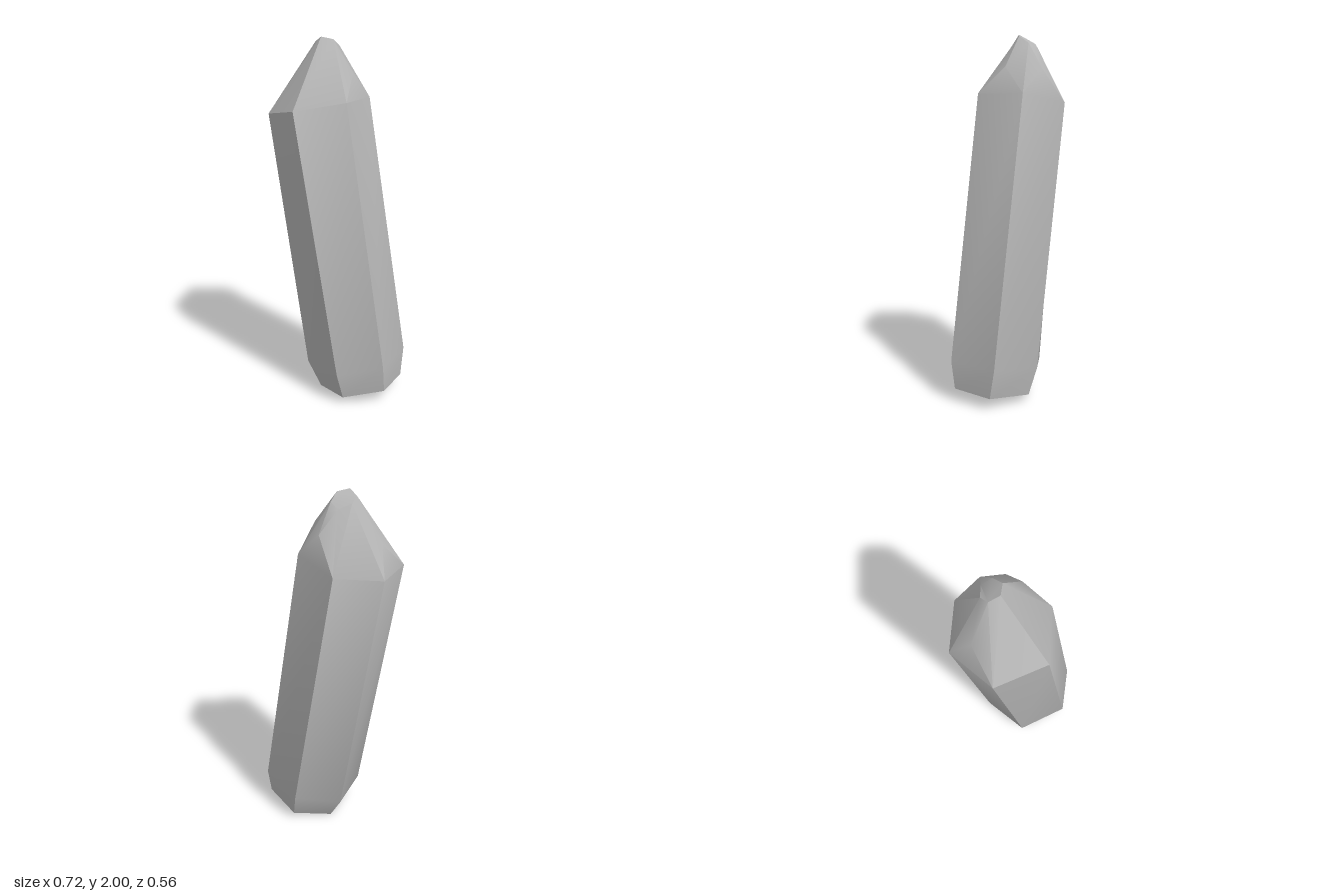
import * as THREE from 'three';
import { toCreasedNormals } from 'three/addons/utils/BufferGeometryUtils.js';

// Six-cornered cross-sections, counterclockwise from the front-left corner
const base = [[-0.05, 0.005, 0.13], [0.155, 0.04, 0.24], [0.355, 0.075, 0.12],
  [0.355, 0.067, -0.11], [0.14, 0.04, -0.225], [-0.05, 0, -0.1]];
const lower = [[-0.13, 0.15, 0.14], [0.135, 0.19, 0.275], [0.356, 0.23, 0.142],
  [0.358, 0.23, -0.14], [0.11, 0.19, -0.26], [-0.13, 0.15, -0.14]];
const shoulder = [[-0.36, 1.595, 0.138], [-0.117, 1.64, 0.28], [0.11, 1.68, 0.12],
  [0.105, 1.68, -0.16], [-0.14, 1.63, -0.28], [-0.354, 1.6, -0.135]];
const tip = [[-0.16, 1.975, -0.036], [-0.11, 2, -0.006], [-0.055, 1.987, -0.04],
  [-0.05, 1.95, -0.103], [-0.1, 1.925, -0.13], [-0.156, 1.95, -0.085]];
// Bulge points on some of the point's facets
const bulges = { 2: [0.07, 1.82, -0.03], 3: [-0.03, 1.81, -0.2], 5: [-0.298, 1.75, -0.035] };

function surface(name, triangles, material) {
  const geometry = new THREE.BufferGeometry();
  geometry.setAttribute('position', new THREE.Float32BufferAttribute(triangles.flat(2), 3));
  const mesh = new THREE.Mesh(toCreasedNormals(geometry, THREE.MathUtils.degToRad(34)), material);
  mesh.name = name;
  return mesh;
}

export function createModel() {
  const stone = new THREE.MeshStandardMaterial({ color: 0xb5b5b5 });
  stone.name = 'grey crystal';
  const triangles = [];

  for (let i = 0; i < 6; i++) {
    const j = (i + 1) % 6;
    // Bevelled foot and long shaft
    for (const [a, b] of [[base, lower], [lower, shoulder]]) {
      triangles.push([a[i], a[j], b[j]], [a[i], b[j], b[i]]);
    }
    // Facets of the point
    const quad = [shoulder[i], shoulder[j], tip[j], tip[i]];
    const m = bulges[i];
    if (m) quad.forEach((p, k) => triangles.push([p, quad[(k + 1) % 4], m]));
    else triangles.push([quad[0], quad[1], quad[2]], [quad[0], quad[2], quad[3]]);
  }
  // End caps
  for (let i = 1; i < 5; i++) {
    triangles.push([tip[0], tip[i], tip[i + 1]], [base[0], base[i + 1], base[i]]);
  }

  const group = new THREE.Group();
  group.name = 'crystal';
  group.add(surface('crystalShard', triangles, stone));
  return group;
}
